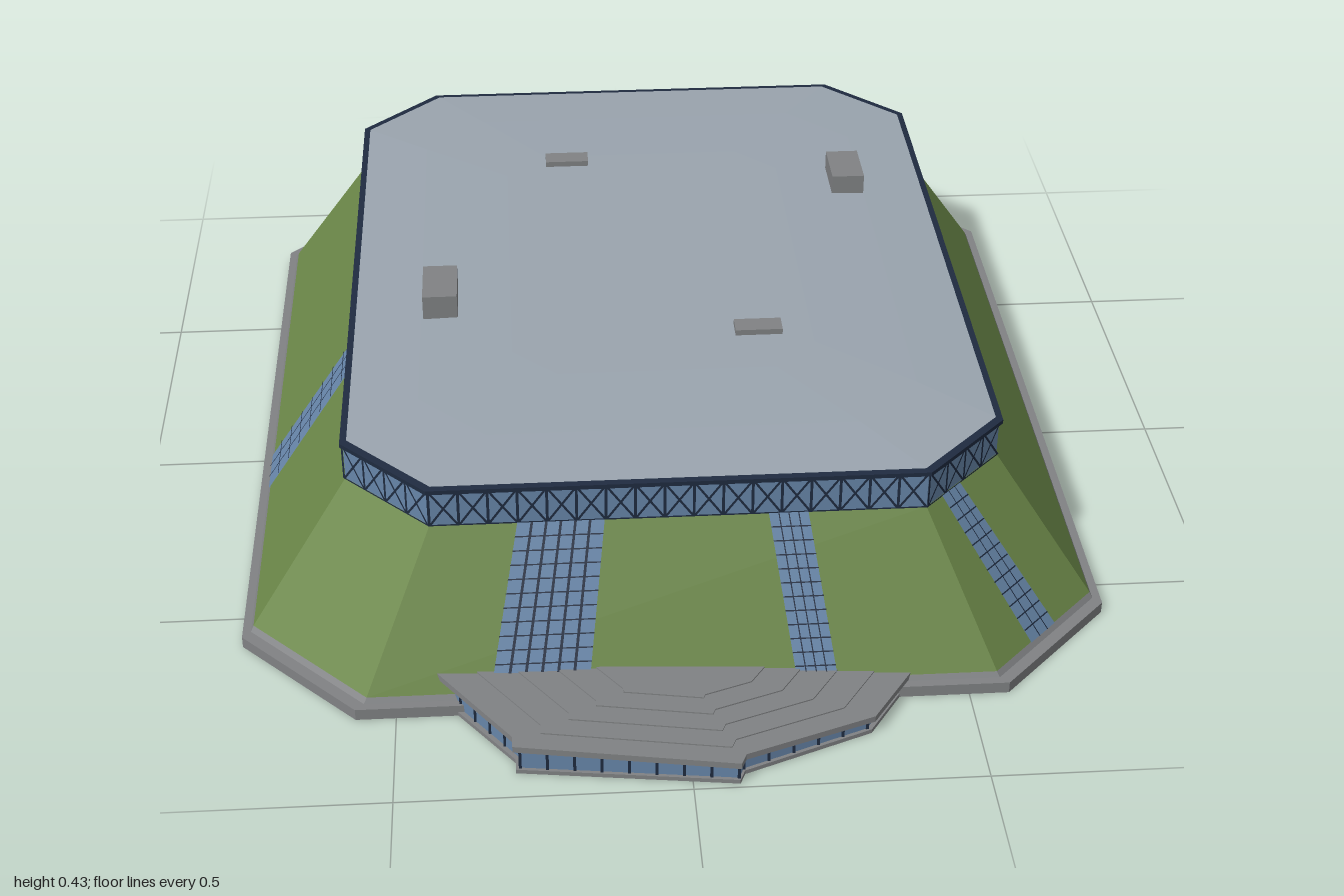
import * as THREE from 'three';
import { mergeGeometries } from 'three/addons/utils/BufferGeometryUtils.js';

const CZ = -0.105; // centre of the hall, the entrance sticks out in front
const mat = (name, color, side = THREE.FrontSide) => {
  const m = new THREE.MeshStandardMaterial({ color, side });
  m.name = name;
  return m;
};

// Chamfered rectangle, running left to right as seen from outside, front edge first
function ring(hx, hz, c, y) {
  const a = hx - c, b = hz - c;
  return [[-a, hz], [a, hz], [hx, b], [hx, -b], [a, -hz], [-a, -hz], [-hx, -b], [-hx, b]]
    .map(([x, z]) => new THREE.Vector3(x, y, z + CZ));
}

function fromPoints(points) {
  const g = new THREE.BufferGeometry().setFromPoints(points);
  g.computeVertexNormals();
  return g;
}

// Flat-sided skin through a stack of rings; optional cap on the last one
function loft(rings, cap = false) {
  const pts = [];
  for (let r = 0; r < rings.length - 1; r++) {
    const lo = rings[r], hi = rings[r + 1];
    for (let k = 0; k < 8; k++) {
      const n = (k + 1) % 8;
      pts.push(lo[k], lo[n], hi[n], lo[k], hi[n], hi[k]);
    }
  }
  if (cap) {
    const t = rings[rings.length - 1];
    for (let k = 1; k < 7; k++) pts.push(t[0], t[k], t[k + 1]);
  }
  return fromPoints(pts);
}

// Thin face lying on side k between two rings, corners given as [u, v]
function wallQuad(lo, hi, k, uvs, off) {
  const n = (k + 1) % 8;
  const normal = lo[n].clone().sub(lo[k]).cross(hi[k].clone().sub(lo[k])).normalize();
  const p = uvs.map(([u, v]) => lo[k].clone().lerp(lo[n], u)
    .lerp(hi[k].clone().lerp(hi[n], u), v).addScaledVector(normal, off));
  return fromPoints([p[0], p[1], p[2], p[0], p[2], p[3]]);
}

// Solid over an [x, z] outline with bottom and top heights depending on x
function slab(outline, bottom, top) {
  const shape = new THREE.Shape(outline.map(([x, z]) => new THREE.Vector2(x, -z)));
  const g = new THREE.ExtrudeGeometry(shape, { depth: 1, bevelEnabled: false });
  g.rotateX(-Math.PI / 2);
  const p = g.attributes.position;
  for (let i = 0; i < p.count; i++) {
    const x = p.getX(i);
    p.setY(i, THREE.MathUtils.lerp(bottom(x), top(x), p.getY(i)));
  }
  g.computeVertexNormals();
  return g;
}

export function createModel() {
  const model = new THREE.Group();
  const grass = mat('grass green', 0x6b8748);
  const concrete = mat('concrete grey', 0x808284);
  const roofGrey = mat('roof grey', 0x9aa4ae);
  const glass = mat('glass blue', 0x6685a8);
  const steel = mat('dark steel', 0x1f2b40);
  const floorDark = mat('underside dark', 0x3c403a);
  const add = (name, geo, material) => {
    const m = new THREE.Mesh(geo, material);
    m.name = name;
    model.add(m);
    return m;
  };

  // Plinth with an opening underneath
  const outer = ring(0.78, 0.895, 0.21, 0), inner = ring(0.6, 0.71, 0.17, 0);
  const flat = (r) => r.map((v) => [v.x, v.z]);
  const plinthShape = new THREE.Shape(flat(outer).map(([x, z]) => new THREE.Vector2(x, -z)));
  plinthShape.holes.push(new THREE.Path(flat(inner).map(([x, z]) => new THREE.Vector2(x, -z))));
  const plinth = new THREE.ExtrudeGeometry(plinthShape, { depth: 0.022, bevelEnabled: false });
  add('plinth', plinth.rotateX(-Math.PI / 2), concrete);
  add('underside', slab(flat(inner), () => 0.008, () => 0.018), floorDark);

  // Sloping grass walls
  const base = ring(0.765, 0.88, 0.21, 0.022), kerb = ring(0.76, 0.875, 0.21, 0.032);
  const shoulder = ring(0.58, 0.745, 0.15, 0.3), eave = ring(0.58, 0.745, 0.15, 0.372);
  add('kerb', loft([base, kerb]), concrete);
  add('grassWalls', loft([kerb, shoulder]), grass);

  // Window strips: side, base u range, top u range, columns, rows
  const strips = [
    [0, 0.195, 0.35, 0.175, 0.35, 6, 12],
    [0, 0.68, 0.745, 0.68, 0.76, 4, 12],
    [1, 0.35, 0.6, 0.2, 0.45, 3, 12],
    [3, 0.5, 0.72, 0.5, 0.74, 3, 12],
    [4, 0.362, 0.427, 0.3, 0.385, 3, 12],
    [6, 0.6, 0.685, 0.61, 0.695, 3, 8],
  ];
  const panes = [], bars = [];
  for (const [k, b0, b1, t0, t1, cols, rows] of strips) {
    const at = (s, v) => [THREE.MathUtils.lerp(b0 + (b1 - b0) * s, t0 + (t1 - t0) * s, v), v];
    const patch = (s0, s1, v0, v1, off) =>
      wallQuad(kerb, shoulder, k, [at(s0, v0), at(s1, v0), at(s1, v1), at(s0, v1)], off);
    panes.push(patch(0, 1, 0, 1, 0.003));
    for (let i = 1; i < cols; i++) bars.push(patch(i / cols - 0.015, i / cols + 0.015, 0, 1, 0.005));
    for (let j = 1; j < rows; j++) bars.push(patch(0, 1, j / rows - 0.004, j / rows + 0.004, 0.005));
  }
  add('windowStrips', mergeGeometries(panes), glass);
  add('windowBars', mergeGeometries(bars), steel);

  // Glazed band with crossed bracing on every side
  add('glassBand', loft([shoulder, eave]), glass);
  const braces = [];
  for (let k = 0; k < 8; k++) {
    const len = shoulder[k].distanceTo(shoulder[(k + 1) % 8]);
    const bays = Math.round(len / 0.052), w = 0.0025 / len;
    const brace = (u0, u1) => braces.push(wallQuad(shoulder, eave, k,
      [[u0 - w, 0], [u0 + w, 0], [u1 + w, 1], [u1 - w, 1]], 0.003));
    for (let i = 0; i < bays; i++) {
      const a = i / bays, b = (i + 1) / bays;
      brace(a, b);
      brace(b, a);
      brace(a, a);
    }
    braces.push(wallQuad(shoulder, eave, k, [[0, 0], [1, 0], [1, 0.04], [0, 0.04]], 0.003));
  }
  add('bandBracing', mergeGeometries(braces), steel);

  // Roof edge and gently crowned roof
  const rim0 = ring(0.586, 0.751, 0.152, 0.368), rim1 = ring(0.586, 0.751, 0.152, 0.376);
  const roof0 = ring(0.574, 0.739, 0.148, 0.377);
  add('roofEdge', loft([ring(0.578, 0.743, 0.15, 0.368), rim0, rim1, roof0]), steel);
  add('roof', loft([roof0, ring(0.45, 0.6, 0.12, 0.384), ring(0.28, 0.42, 0.08, 0.389)], true), roofGrey);

  // Roof plant boxes: x, z, width, depth, top
  const plant = [
    [-0.155, -0.5, 0.088, 0.04, 0.4], [0.18, 0.185, 0.088, 0.04, 0.4],
    [0.417, -0.39, 0.065, 0.11, 0.424], [-0.413, 0.045, 0.065, 0.115, 0.432],
  ];
  for (const [x, z, w, d, top] of plant) {
    const h = top - 0.37;
    add('roofBox', new THREE.BoxGeometry(w, h, d).translate(x, 0.37 + h / 2, z), concrete);
  }

  // Entrance: glazed walls under a stepped canopy that falls towards the left
  const outline = [[-0.43, 0.75], [-0.3, 0.92], [-0.3, 0.945], [0.08, 0.995],
    [0.09, 0.972], [0.32, 0.882], [0.4, 0.765], [0.4, 0.75]];
  const scaled = (s) => outline.map(([x, z]) => [x * s, 0.75 + (z - 0.75) * s]);
  const height = (x) => 0.066 - 0.03 * (x + 0.43) / 0.83;
  const walls = scaled(0.96);
  add('entranceGlass', slab(walls, () => 0.008, (x) => height(x) - 0.008), glass);
  add('entranceFloor', slab(scaled(0.985), () => 0, () => 0.008), concrete);
  [1, 0.84, 0.68, 0.52, 0.36].forEach((s, i) => {
    add('canopyStep', slab(scaled(s), (x) => height(x) - 0.012, (x) => height(x) + i * 0.0025), concrete);
  });

  // Entrance mullions along each glazed side
  const posts = [];
  for (let i = 0; i < walls.length - 2; i++) {
    const [x0, z0] = walls[i], [x1, z1] = walls[i + 1];
    const n = Math.max(1, Math.round(Math.hypot(x1 - x0, z1 - z0) / 0.045));
    for (let j = 0; j < n; j++) {
      const x = x0 + (x1 - x0) * j / n, z = z0 + (z1 - z0) * j / n, h = height(x) - 0.012;
      posts.push(new THREE.BoxGeometry(0.005, h, 0.005).translate(x, h / 2 + 0.002, z));
    }
  }
  add('entranceMullions', mergeGeometries(posts), steel);

  return model;
}
